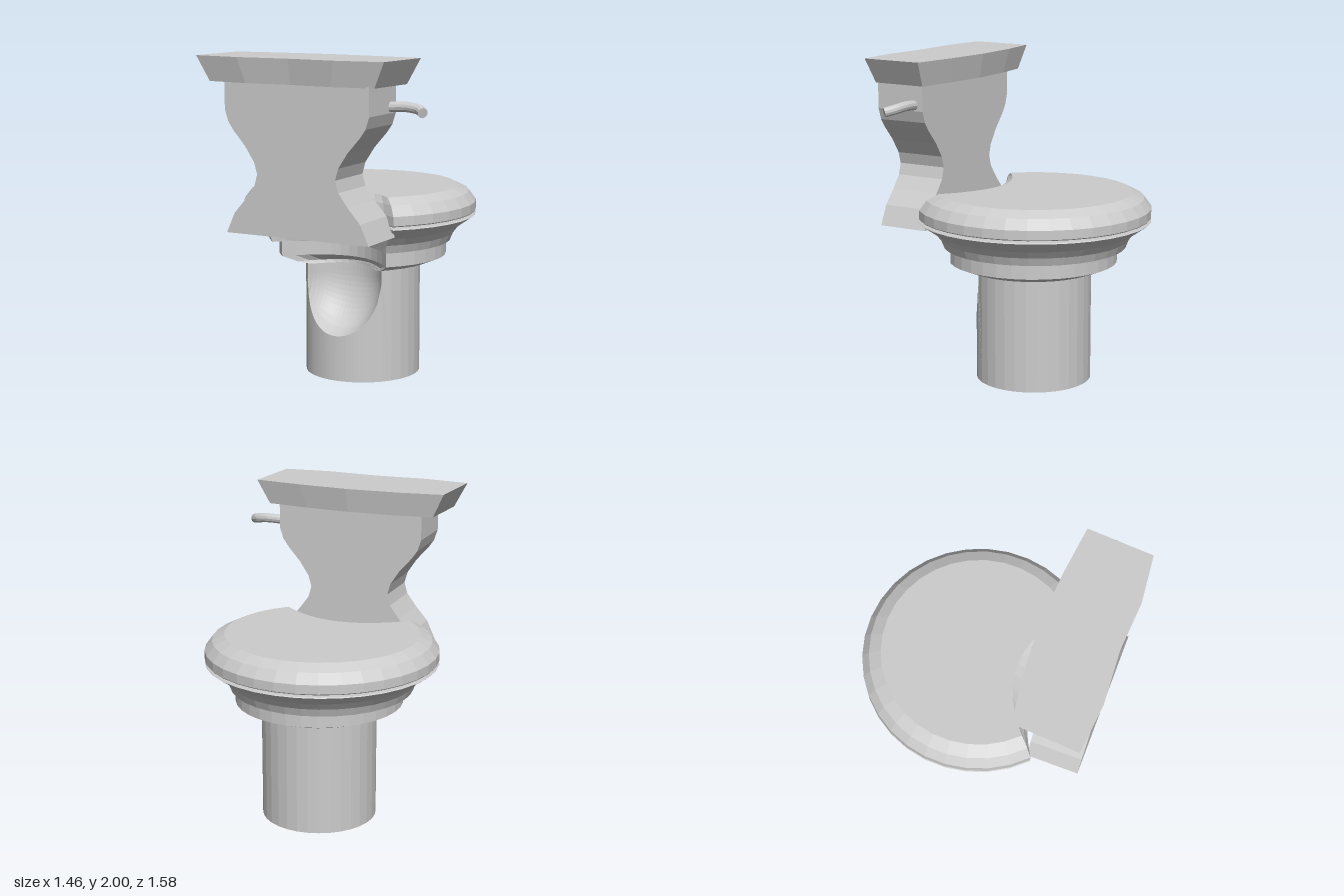
import * as THREE from 'three';

const CZ = -0.07; // z of the bowl axis

function part(name, geometry) {
  const mesh = new THREE.Mesh(geometry, new THREE.MeshStandardMaterial({ color: 0xcccccc, flatShading: true }));
  mesh.name = name;
  return mesh;
}

// Closed skin over equal-length rings (counterclockwise from above), capped by fans
function loft(rings, cx, cz) {
  const n = rings[0].length, last = rings.length - 1;
  const pos = rings.flat(2), idx = [];
  for (let k = 0; k < last; k++) {
    for (let i = 0; i < n; i++) {
      const j = (i + 1) % n, a = k * n + i, b = k * n + j;
      idx.push(a, b, b + n, a, b + n, a + n);
    }
  }
  const c = pos.length / 3;
  pos.push(cx, rings[0][0][1], cz, cx, rings[last][0][1], cz);
  for (let i = 0; i < n; i++) {
    const j = (i + 1) % n;
    idx.push(c, j, i, c + 1, last * n + i, last * n + j);
  }
  const g = new THREE.BufferGeometry();
  g.setAttribute('position', new THREE.Float32BufferAttribute(pos, 3));
  g.setIndex(idx);
  g.computeVertexNormals();
  return g;
}

// Round outline with a shallow concave bite facing the tank
function bittenRing(r, y, cx) {
  const horn = 0.766, sides = 26, steps = 12, ring = [];
  for (let i = 0; i <= sides; i++) {
    const a = horn + (2 * Math.PI - 2 * horn) * i / sides;
    ring.push([cx + r * Math.sin(a), y, CZ + r * Math.cos(a)]);
  }
  const xe = r * Math.sin(horn), ze = CZ + r * Math.cos(horn);
  const mid = Math.max(0.02, 0.30 - (0.72 - r));
  for (let i = 1; i < steps; i++) {
    const t = -1 + 2 * i / steps;
    ring.push([cx + xe * t, y, mid + (ze - mid) * t * t]);
  }
  return ring;
}

const bitten = (profile, cx) => loft(profile.map(([r, y]) => bittenRing(r, y, cx)), cx, CZ);

// Round column with an ellipsoidal hollow scooped from the tank side
function pedestalGeometry() {
  const R = 0.357, H = 0.7, cz = -0.075, edge = 0.807, rows = 14;
  const sy = 0.63, sz = 0.30, rx = 0.29, ry = 0.35, rz = 0.29;
  const angles = [];
  for (let i = 0; i < 24; i++) angles.push(-edge + 2 * edge * i / 24);
  for (let i = 0; i < 24; i++) angles.push(edge + (2 * Math.PI - 2 * edge) * i / 24);
  const rings = [];
  for (let k = 0; k <= rows; k++) {
    rings.push(angles.map((a, i) => {
      const x = R * Math.sin(a), z = cz + R * Math.cos(a);
      if (i > 24) return [x, H * k / rows, z];
      const f = Math.max(0, 1 - (x / rx) ** 2 - ((sz - z) / rz) ** 2);
      const lip = sy - ry * Math.sqrt(f);
      if (k === 0) return [x, 0, z];
      const y = lip + (H - lip) * (k - 1) / (rows - 1);
      const t = (Math.min(y, sy) - sy) / ry;
      const back = sz - rz * Math.sqrt(Math.max(0, 1 - (x / rx) ** 2 - t * t));
      return [x, y, Math.min(z, back)];
    }));
  }
  return loft(rings, 0, cz);
}

// Waisted tank body, extruded front to back
function tankGeometry() {
  const side = [[0.475, 0.96], [0.42, 1.08], [0.34, 1.17], [0.28, 1.25], [0.26, 1.32], [0.28, 1.39],
    [0.34, 1.48], [0.42, 1.57], [0.455, 1.62], [0.478, 1.69], [0.478, 1.86]];
  const left = side.map(([x, y]) => [-x, y]).reverse();
  const shape = new THREE.Shape([...side, ...left].map(([x, y]) => new THREE.Vector2(x, y)));
  return new THREE.ExtrudeGeometry(shape, { depth: 0.325, bevelEnabled: false }).translate(0, 0, 0.415);
}

// Flared tank cover with gently bowed edges
function coverGeometry() {
  const cx = -0.03, cz = 0.545;
  const outline = [[-0.66, 0.76], [-0.36, 0.79], [-0.03, 0.77], [0.28, 0.79], [0.58, 0.76],
    [0.605, 0.355], [0.3, 0.32], [-0.02, 0.30], [-0.36, 0.32], [-0.635, 0.36]];
  const ring = (s, y) => outline.map(([x, z]) => [cx + (x - cx) * s, y, cz + (z - cz) * s]);
  return loft([ring(0.88, 1.85), ring(1, 2)], cx, cz);
}

// Flush lever: bent rod with a closed end
function addLever(group) {
  const path = new THREE.CatmullRomCurve3([[0.46, 1.725, 0.48], [0.58, 1.73, 0.475],
    [0.66, 1.72, 0.49], [0.705, 1.706, 0.53]].map(p => new THREE.Vector3(...p)));
  const lever = new THREE.Group();
  lever.name = 'flushLever';
  lever.add(part('leverRod', new THREE.TubeGeometry(path, 12, 0.03, 12)));
  const end = part('leverEnd', new THREE.CircleGeometry(0.03, 12));
  end.position.copy(path.getPoint(1));
  end.lookAt(end.position.clone().add(path.getTangent(1)));
  lever.add(end);
  group.add(lever);
}

export function createModel() {
  const model = new THREE.Group();
  model.name = 'toilet';
  model.add(part('pedestal', pedestalGeometry()));
  model.add(part('bowlBase', bitten([[0.34, 0.69], [0.42, 0.71], [0.52, 0.75], [0.52, 0.845]], 0)));
  model.add(part('bowl', bitten([[0.565, 0.84], [0.585, 0.89], [0.62, 0.935], [0.67, 0.97], [0.72, 1.005], [0.715, 1.01]], -0.018)));
  model.add(part('seatLid', bitten([[0.715, 1.024], [0.72, 1.03], [0.72, 1.085], [0.675, 1.145], [0.60, 1.182]], -0.018)));
  model.add(part('tank', tankGeometry()));
  model.add(part('tankCover', coverGeometry()));
  addLever(model);
  return model;
}
